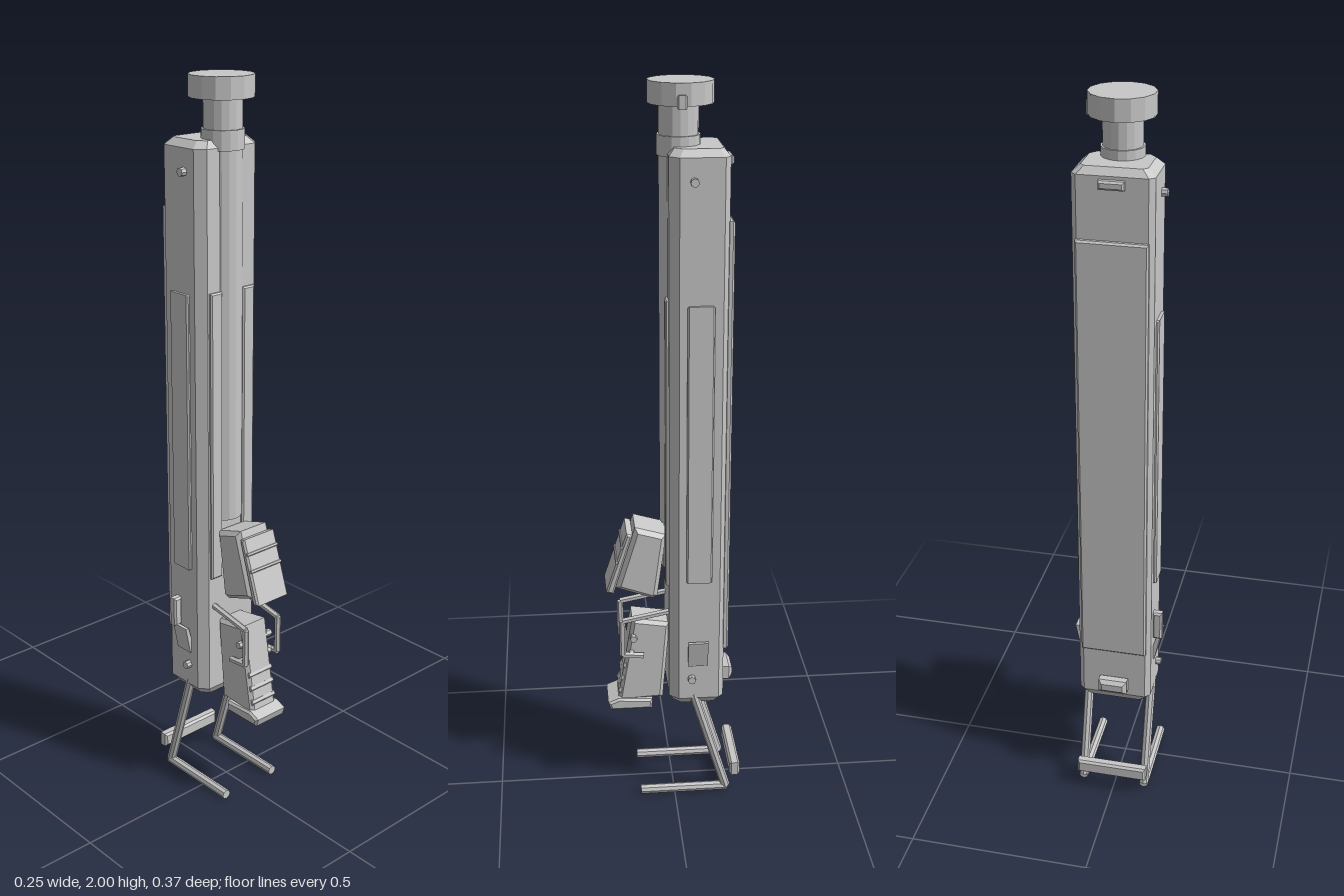
import * as THREE from 'three';
import { ConvexGeometry } from 'three/addons/geometries/ConvexGeometry.js';

const CX = 0.003; // centre line of the launcher
const grey = new THREE.MeshStandardMaterial({ color: 0xc8c8c8, flatShading: true });
grey.name = 'light grey';

export function createModel() {
  const root = new THREE.Group();
  root.name = 'tubeLauncher';

  const add = (name, geometry) => {
    const m = new THREE.Mesh(geometry, grey);
    m.name = name;
    root.add(m);
  };

  // chamfered extrusion of an outline, total thickness t, centred on its depth
  const prism = (points, t, b) => {
    const shape = new THREE.Shape(points.map(([x, y]) => new THREE.Vector2(x, y)));
    const g = new THREE.ExtrudeGeometry(shape, {
      depth: t - 2 * b, bevelEnabled: b > 0, bevelThickness: b, bevelSize: b, bevelOffset: -b, bevelSegments: 1,
    });
    return g.translate(0, 0, -(t - 2 * b) / 2);
  };
  // outline given as [z, y], extruded across x
  const sideProfile = (points, w, b) => prism(points, w, b).rotateY(-Math.PI / 2).translate(CX, 0, 0);
  // chamfered box from its limits
  const block = (x0, x1, y0, y1, z0, z1, b = 0.005) =>
    prism([[x0, y0], [x1, y0], [x1, y1], [x0, y1]], z1 - z0, b).translate(0, 0, (z0 + z1) / 2);
  // round bar between two points
  const rod = (a, b, r, sides = 8) => {
    const p = new THREE.Vector3(...a), d = new THREE.Vector3(...b).sub(p);
    const g = new THREE.CylinderGeometry(r, r, d.length(), sides);
    g.applyQuaternion(new THREE.Quaternion().setFromUnitVectors(new THREE.Vector3(0, 1, 0), d.clone().normalize()));
    return g.translate(...p.addScaledVector(d, 0.5).toArray());
  };

  // main housing: cross-section with chamfered corners, drawn in at both ends
  const half = [[0.08, 0.015], [0.102, -0.01], [0.102, -0.122], [0.088, -0.136]];
  const hull = [];
  for (const [y, k] of [[0.295, 0.8], [0.32, 1], [1.828, 1], [1.846, 0.8]])
    for (const [x, z] of half)
      for (const s of [-1, 1])
        hull.push(new THREE.Vector3(CX + s * x * k, y, -0.0605 + (z + 0.0605) * k));
  add('housing', new ConvexGeometry(hull));

  // barrel, its collar and the muzzle
  const barrel = (name, r, y0, y1, sides, z = -0.016) =>
    add(name, new THREE.CylinderGeometry(r, r, y1 - y0, sides).translate(CX, (y0 + y1) / 2, z));
  barrel('barrel', 0.05, 0.83, 1.95, 16);
  barrel('barrelCollar', 0.055, 1.82, 1.87, 16);
  barrel('muzzleCap', 0.083, 1.945, 2, 14, -0.021);
  add('muzzleCatch', block(0.072, 0.09, 1.938, 1.972, -0.03, -0.005, 0.004));

  // housing plates and side fittings
  add('backPlate', block(CX - 0.091, CX + 0.091, 0.47, 1.67, -0.149, -0.13, 0.005));
  add('backTopTab', block(CX - 0.032, CX + 0.032, 1.798, 1.82, -0.152, -0.13));
  add('backKnob', block(CX - 0.04, CX + 0.04, 0.34, 0.38, -0.169, -0.13, 0.01));
  for (const s of [-1, 1]) {
    const span = (a, b) => (s > 0 ? [CX + a, CX + b] : [CX - b, CX - a]);
    add('frontRail', block(...span(0.036, 0.075), 0.665, 1.467, 0.005, 0.024, 0.004));
    add('sidePlate', block(...span(0.095, 0.11), 0.685, 1.46, -0.1, -0.03, 0.004));
    for (const y of [0.385, 1.77])
      add('sidePin', rod([CX + s * 0.09, y, -0.046], [CX + s * 0.117, y, -0.046], 0.011));

    // slanted side lever
    const lever = prism([[0.09, 0.425], [0.106, 0.425], [0.122, 0.505], [0.112, 0.505]], 0.055, 0);
    if (s < 0) lever.rotateY(Math.PI).translate(0, 0, 0);
    add('sideLever', lever.translate(CX, 0, -0.063));

    // folding rest: sloping leg and foot bar
    const x = CX + s * 0.09;
    add('restLeg', rod([x, 0.33, -0.052], [x, 0.014, -0.147], 0.0135));
    add('restFoot', rod([x, 0.0135, -0.152], [x, 0.0135, 0.098], 0.0135));

    // trigger guard side frame
    const path = [[0, 0.58], [0.143, 0.552], [0.143, 0.445], [0.085, 0.44]];
    for (let i = 0; i < 3; i++) {
      const [[z0, y0], [z1, y1]] = [path[i], path[i + 1]];
      add('guardBar', rod([CX + s * 0.06, y0, z0], [CX + s * 0.06, y1, z1], 0.009, 6));
    }
  }
  add('sideSwitch', block(-0.124, -0.098, 0.5, 0.585, -0.1, -0.075));
  add('restCrossbar', block(-0.098, 0.102, 0.052, 0.093, -0.188, -0.158, 0.006));

  // rungs joining the guard frames across the grip
  for (const [y, z] of [[0.492, 0.112], [0.442, 0.118]])
    add('guardRung', rod([CX - 0.06, y, z], [CX + 0.06, y, z], 0.01, 6));

  // upper fore grip with end plate and ribs
  add('foreGrip', sideProfile([[0.02, 0.805], [0.045, 0.62], [0.06, 0.614], [0.16, 0.65], [0.105, 0.83]], 0.114, 0.012));
  add('foreGripPlate', sideProfile([[0.112, 0.81], [0.166, 0.634], [0.186, 0.64], [0.128, 0.815]], 0.114, 0.005));
  for (const [z, y] of [[0.14, 0.775], [0.155, 0.73]])
    add('foreGripRib', rod([CX - 0.055, y, z], [CX + 0.055, y, z], 0.005, 6));

  // lower pistol grip with finger ridges and base
  add('pistolGrip', sideProfile([[0.01, 0.53], [0.03, 0.29], [0.158, 0.285], [0.115, 0.547]], 0.092, 0.01));
  for (let i = 0; i < 3; i++) {
    const y = 0.4 - 0.04 * i, z = 0.133 + 0.007 * i;
    add('gripRidge', rod([CX - 0.042, y, z], [CX + 0.042, y, z], 0.009, 6));
  }
  add('gripBase', sideProfile([[0.062, 0.262], [0.178, 0.262], [0.186, 0.285], [0.155, 0.298], [0.06, 0.292]], 0.112, 0.006));

  return root;
}
